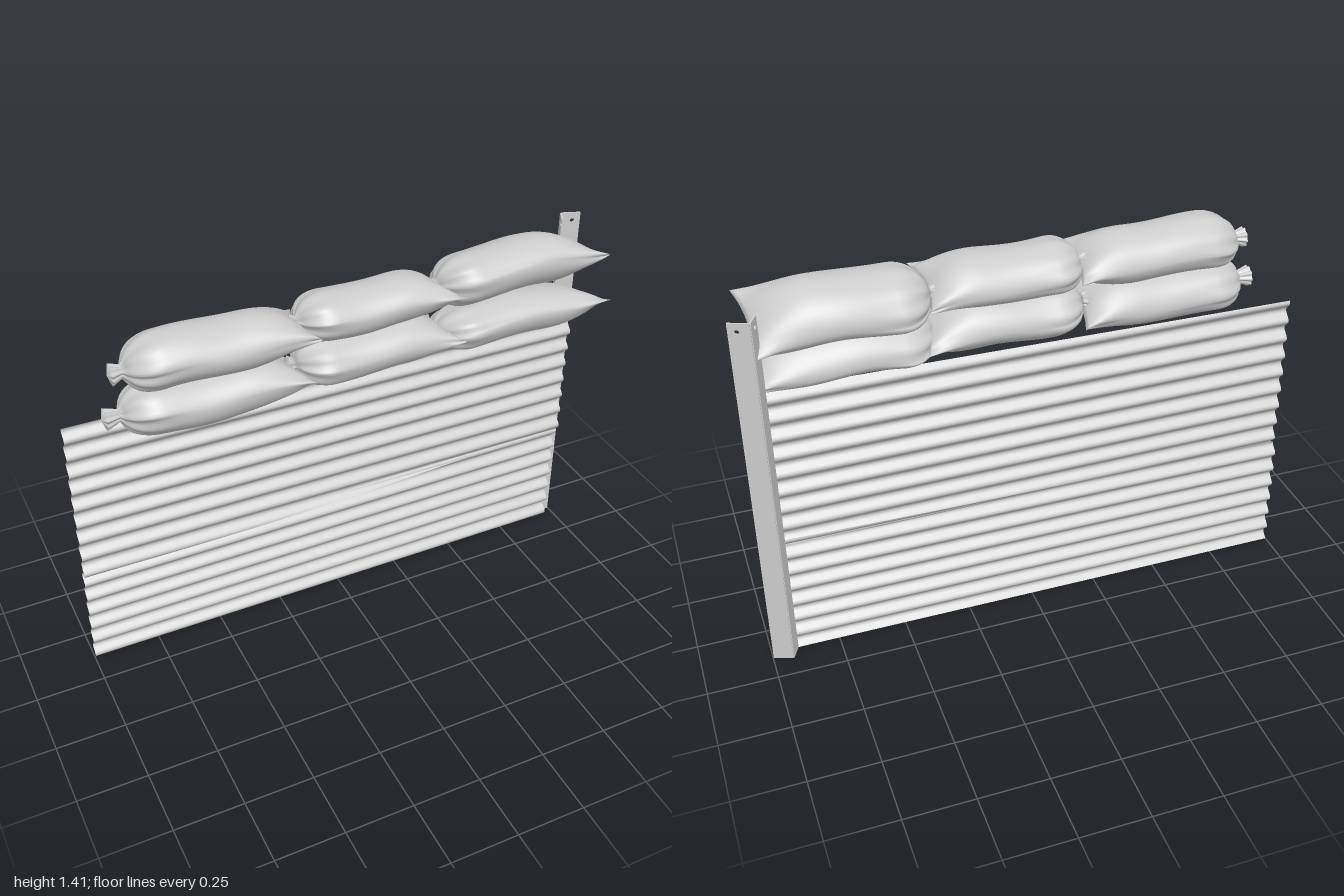
import * as THREE from 'three';
import { ParametricGeometry } from 'three/addons/geometries/ParametricGeometry.js';

const grey = new THREE.MeshStandardMaterial({ color: 0xcccccc, side: THREE.DoubleSide });

function add(parent, name, geometry) {
  const mesh = new THREE.Mesh(geometry, grey);
  mesh.name = name;
  parent.add(mesh);
  return mesh;
}

// Corrugated sheet: a plane waved along y, leaning between two depths.
// y0, y1 are [left end, right end] heights of the lower and upper edges.
function sheet({ y0, y1, z0, z1, pitch, crest, skew, bow }) {
  const g = new THREE.PlaneGeometry(1, 1, 24, 130);
  const p = g.attributes.position;
  for (let i = 0; i < p.count; i++) {
    const u = p.getX(i) + 0.5, v = p.getY(i) + 0.5;
    const x = -1 + 1.955 * u;
    const y = THREE.MathUtils.lerp(
      THREE.MathUtils.lerp(y0[0], y0[1], u), THREE.MathUtils.lerp(y1[0], y1[1], u), v);
    const wave = Math.sin((2 * Math.PI * (y - crest + skew * x)) / pitch);
    p.setXYZ(i, x, y, z0 + (z1 - z0) * v + bow * Math.sin(Math.PI * v) + 0.012 * wave);
  }
  g.computeVertexNormals();
  return g;
}

// Filled sandbag: gathered neck on the -x end, flat sewn seam on the +x end.
function sandbag({ x0, x1, neck, W, H, seed, sag }) {
  const len = x1 - x0, n = neck / len;
  return new ParametricGeometry((u, v, target) => {
    const a = v * Math.PI * 2;
    const s = Math.max(0, (u - n) / (1 - n));
    const left = Math.pow(1 - Math.pow(1 - Math.min(s / 0.2, 1), 2.2), 0.6);
    const right = Math.pow(1 - Math.pow(1 - Math.min((1 - s) / 0.36, 1), 2), 0.75);
    const ruff = (0.02 + 0.02 * Math.max(0, 1 - u / n)) * Math.min(1, u / 0.012);
    // folds fan out from the neck and, more weakly, from the seam
    const fold = 1 + 0.09 * Math.exp(-s * 9) * Math.sin(9 * a + seed)
      + 0.07 * Math.exp(-(1 - s) * 9) * Math.sin(7 * a + seed * 2)
      + 0.02 * Math.sin(s * 11 + seed) * Math.sin(2 * a + seed);
    const h = (ruff + (H - ruff) * left) * right * fold + 0.004 * left;
    const w = (ruff + (W - ruff) * left) * (1 - 0.05 * Math.sin(s * Math.PI) + 0.06 * s ** 8) * fold;
    const sin = Math.sin(a);
    const y = h * Math.sign(sin) * Math.pow(Math.abs(sin), 1.12);
    const z = w * Math.cos(a);
    // the seam edge bows inward between its two corners
    const inset = 0.025 * s ** 6 * (1 - (z / W) ** 2);
    const droop = -sag * (2 * u - 1) ** 2 + 0.005 * Math.sin(s * 9 + seed);
    target.set((u - 0.5) * len - inset, y + droop, z);
  }, 60, 48);
}

// One leg of the angle post, from the corner (ax, az) to the edge (bx, bz).
function postLeg(ax, az, bx, bz, height) {
  const width = Math.hypot(bx - ax, bz - az);
  const s = new THREE.Shape();
  s.moveTo(0, 0);
  s.lineTo(width, 0);
  s.lineTo(width, height);
  s.lineTo(0, height);
  s.closePath();
  const hole = new THREE.Path();
  hole.absarc(width * 0.6, height - 0.03, 0.008, 0, Math.PI * 2, true);
  s.holes.push(hole);
  const g = new THREE.ExtrudeGeometry(s, { depth: 0.007, bevelEnabled: false, curveSegments: 8 });
  g.translate(0, 0, -0.0035);
  g.rotateY(-Math.atan2(bz - az, bx - ax));
  g.translate(ax, 0, az);
  return g;
}

export function createModel() {
  const model = new THREE.Group();
  model.name = 'sandbagBarrier';

  // Two overlapping corrugated sheets
  add(model, 'lowerSheet', sheet({
    y0: [0, 0], y1: [0.455, 0.49], z0: -0.113, z1: -0.1, pitch: 0.07, crest: 0.08, skew: 0, bow: 0,
  }));
  add(model, 'upperSheet', sheet({
    y0: [0.415, 0.455], y1: [1.065, 1.065], z0: -0.083, z1: -0.07, pitch: 0.0725, crest: 0.99, skew: 0.012, bow: -0.008,
  }));

  // Angle-iron post
  const post = new THREE.Group();
  post.name = 'post';
  add(post, 'postRearLeg', postLeg(0.93, -0.17, 0.997, -0.145, 1.38));
  add(post, 'postSideLeg', postLeg(0.93, -0.17, 0.906, -0.122, 1.38));
  model.add(post);

  // Two rows of three sandbags, each tipped so its front edge rides high
  const bags = [
    { name: 'lowerBagRight', x0: -0.89, x1: -0.2, y: 1.138, z: 0.03, W: 0.128, H: 0.088, tilt: 0.2, neck: 0.06, sag: 0.006 },
    { name: 'lowerBagMiddle', x0: -0.25, x1: 0.36, y: 1.155, z: 0.02, W: 0.13, H: 0.085, tilt: 0.15, neck: 0.03, sag: 0.006 },
    { name: 'lowerBagLeft', x0: 0.28, x1: 0.93, y: 1.145, z: 0.022, W: 0.143, H: 0.078, tilt: 0.32, neck: 0.03, sag: 0.004 },
    { name: 'upperBagRight', x0: -0.855, x1: -0.18, y: 1.308, z: 0.03, W: 0.128, H: 0.088, tilt: 0.12, neck: 0.05, sag: 0.012 },
    { name: 'upperBagMiddle', x0: -0.24, x1: 0.35, y: 1.313, z: 0.015, W: 0.128, H: 0.08, tilt: 0.2, neck: 0.03, sag: 0.008 },
    { name: 'upperBagLeft', x0: 0.3, x1: 0.945, y: 1.312, z: -0.022, W: 0.14, H: 0.088, tilt: 0.38, neck: 0.03, sag: 0.02 },
  ];
  bags.forEach((b, i) => {
    const bag = add(model, b.name, sandbag({ ...b, seed: i * 1.7 + 0.5 }));
    bag.position.set((b.x0 + b.x1) / 2, b.y, b.z);
    bag.rotation.x = -b.tilt;
  });
  return model;
}
